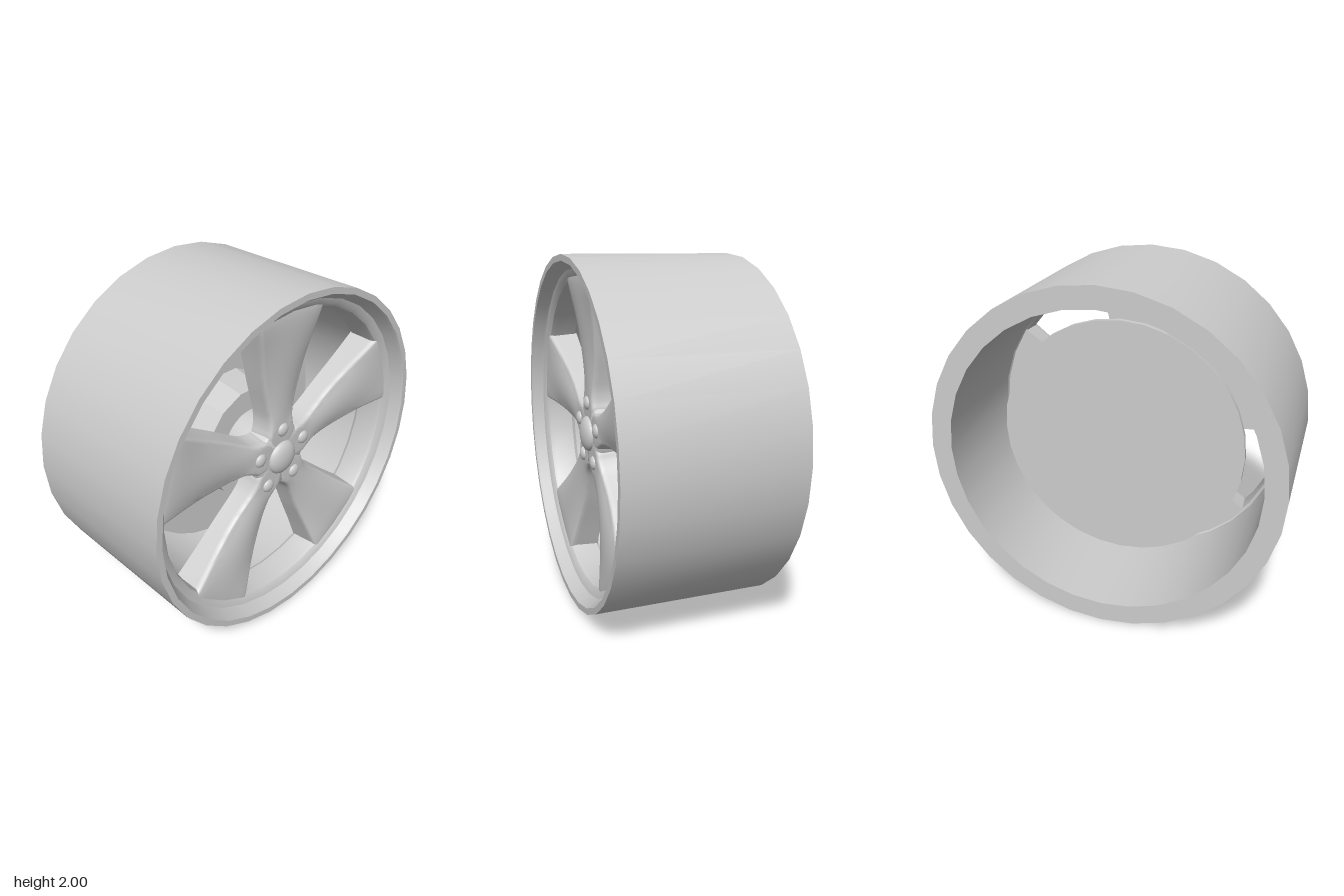
import * as THREE from 'three';
import { toCreasedNormals } from 'three/addons/utils/BufferGeometryUtils.js';

const metal = new THREE.MeshStandardMaterial({ color: 0xcccccc });
metal.name = 'silver metal';

function addMesh(parent, name, geometry) {
  const mesh = new THREE.Mesh(geometry, metal);
  mesh.name = name;
  parent.add(mesh);
  return mesh;
}

// Turned part around the x axis; profile is [radius, x] from back to front
function turned(profile, segments, crease = 0.6) {
  const geo = new THREE.LatheGeometry(profile.map(([r, x]) => new THREE.Vector2(r, x)), segments);
  geo.rotateZ(-Math.PI / 2);
  return toCreasedNormals(geo, crease);
}

// Dome bulging toward +x
function dome(radius, height) {
  const geo = new THREE.SphereGeometry(1, 24, 8, 0, Math.PI * 2, 0, Math.PI / 2);
  geo.scale(radius, height, radius);
  geo.rotateZ(-Math.PI / 2);
  return geo;
}

// Spoke lofted along +y: crowned front, rounded edges, straight flanks
function spokeGeometry() {
  // distance from the axle, half width, front position
  const stations = [
    [0.08, 0.075, 0.360], [0.15, 0.100, 0.362], [0.20, 0.090, 0.362], [0.26, 0.088, 0.363],
    [0.35, 0.106, 0.367], [0.47, 0.137, 0.376], [0.67, 0.184, 0.394], [0.84, 0.230, 0.405],
    [0.92, 0.250, 0.400],
  ];
  const curve = new THREE.CatmullRomCurve3(stations.map((p) => new THREE.Vector3(...p)));
  const steps = 32;
  const positions = [];
  const index = [];
  let count = 0;
  for (let i = 0; i <= steps; i++) {
    const { x: s, y: w, z: front } = curve.getPoint(i / steps);
    const crown = 0.022 * Math.sin(Math.PI * THREE.MathUtils.clamp((s - 0.2) / 0.66, 0, 1));
    const half = [[w + 0.012, 0.23], [w, front - crown - 0.035]];
    for (let k = 1; k <= 4; k++) {
      const a = (k / 4) * Math.PI / 2;
      half.push([w - 0.02 * (1 - Math.cos(a)), front - crown - 0.02 + 0.02 * Math.sin(a)]);
    }
    for (const f of [0.75, 0.5, 0.25]) half.push([(w - 0.02) * f, front - crown * f * f]);
    const section = [
      ...half.map(([t, x]) => [-t, x]),
      [0, front],
      ...half.slice().reverse(),
    ];
    count = section.length;
    for (const [t, x] of section) positions.push(x, s, t);
  }
  for (let i = 0; i < steps; i++) {
    for (let j = 0; j < count; j++) {
      const a = i * count + j;
      const c = i * count + ((j + 1) % count);
      index.push(a, a + count, c, c, a + count, c + count);
    }
  }
  const geo = new THREE.BufferGeometry();
  geo.setAttribute('position', new THREE.Float32BufferAttribute(positions, 3));
  geo.setIndex(index);
  return toCreasedNormals(geo, 0.7);
}

export function createModel() {
  const wheel = new THREE.Group();
  wheel.name = 'wheel';

  // Barrel with stepped front lip and the ring that carries the spokes
  addMesh(wheel, 'rim', turned([
    [0.88, -0.49], [1, -0.49], [1, 0.49], [0.965, 0.49], [0.955, 0.475], [0.932, 0.43],
    [0.925, 0.42], [0.895, 0.41], [0.877, 0.396], [0.868, 0.375], [0.868, 0.24],
    [0.88, 0.22], [0.88, -0.49],
  ], 32, 0.5));

  // Plate behind the spokes and its tapered boss
  addMesh(wheel, 'backPlate', turned([[0, -0.12], [0.72, -0.12], [0.72, -0.09], [0, -0.09]], 32));
  addMesh(wheel, 'boss', turned([[0.37, -0.1], [0.335, 0.11], [0, 0.11]], 14, 0.3));

  // Hub with centre cap
  addMesh(wheel, 'hub', turned([
    [0.2, 0.1], [0.19, 0.33], [0.183, 0.35], [0.165, 0.36], [0, 0.361],
  ], 40));
  addMesh(wheel, 'centreCap', dome(0.102, 0.045)).position.set(0.358, 0, 0);

  // Five spokes, each with a wheel nut at its root
  const spoke = spokeGeometry();
  const nut = dome(0.04, 0.022);
  for (let i = 0; i < 5; i++) {
    const arm = new THREE.Group();
    arm.name = 'spokeArm';
    arm.rotation.x = (i * Math.PI * 2) / 5;
    addMesh(arm, 'spoke', spoke);
    addMesh(arm, 'wheelNut', nut).position.set(0.36, 0.18, 0);
    wheel.add(arm);
  }

  wheel.position.y = 1;
  const model = new THREE.Group();
  model.name = 'wheelModel';
  model.add(wheel);
  return model;
}
